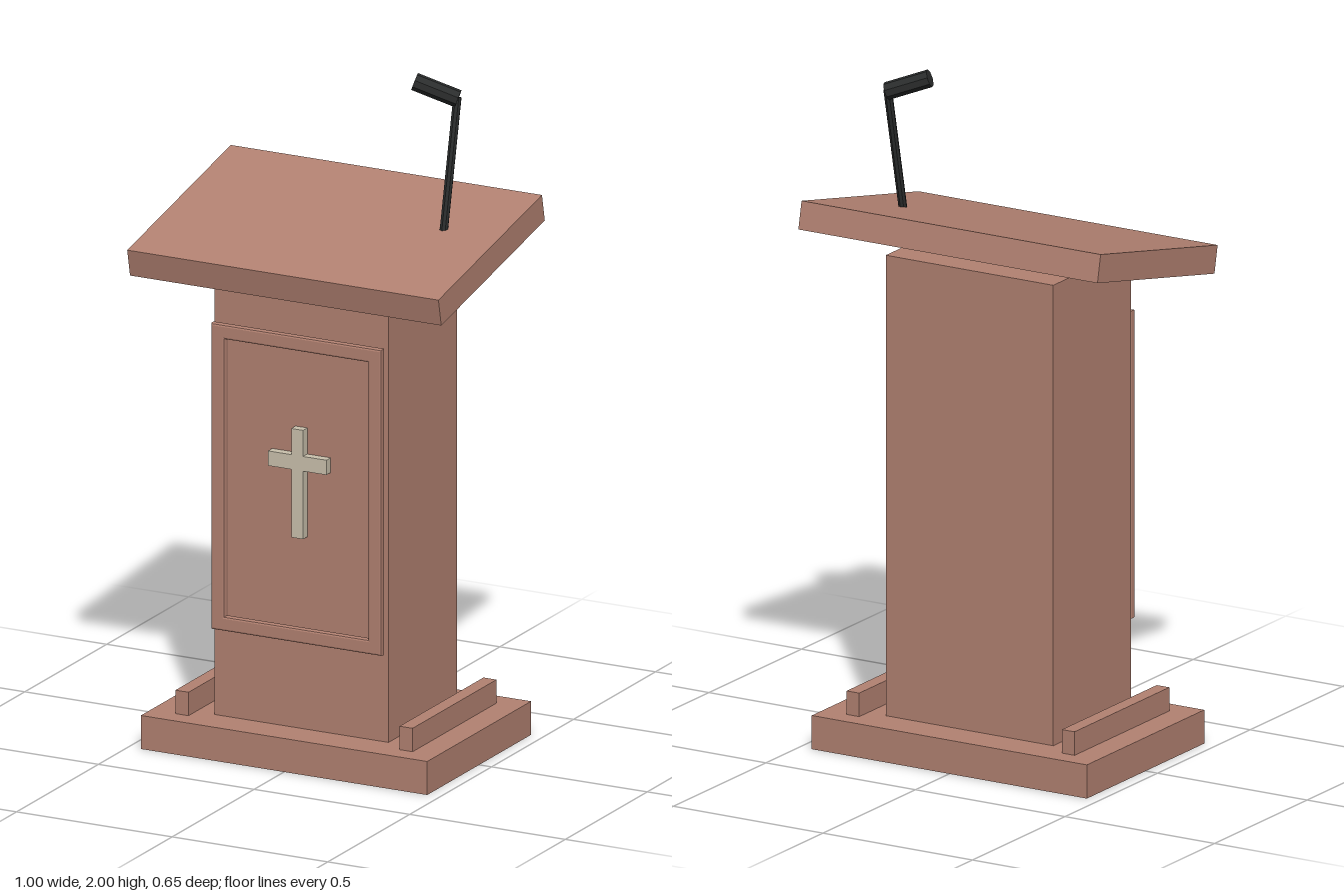
import * as THREE from 'three';

export function createModel() {
  const group = new THREE.Group();
  const wood = new THREE.MeshStandardMaterial({ color: 0xb38272 });
  const ivory = new THREE.MeshStandardMaterial({ color: 0xcbc2ae });
  const black = new THREE.MeshStandardMaterial({ color: 0x2b2d2d });
  wood.name = 'wood';
  ivory.name = 'ivory';
  black.name = 'black';

  const add = (name, geometry, material, x = 0, y = 0, z = 0) => {
    const mesh = new THREE.Mesh(geometry, material);
    mesh.name = name;
    mesh.position.set(x, y, z);
    group.add(mesh);
    return mesh;
  };

  const box = (name, w, y0, y1, z0, z1, x = 0) =>
    add(name, new THREE.BoxGeometry(w, y1 - y0, z1 - z0), wood, x, (y0 + y1) / 2, (z0 + z1) / 2);

  // Faceted rod between two points
  const rod = (name, from, to, radius) => {
    const a = new THREE.Vector3(...from), b = new THREE.Vector3(...to);
    const dir = b.clone().sub(a);
    const geometry = new THREE.CylinderGeometry(radius, radius, dir.length(), 8).toNonIndexed();
    geometry.computeVertexNormals();
    const mesh = add(name, geometry, black);
    mesh.position.copy(a).add(b).multiplyScalar(0.5);
    mesh.quaternion.setFromUnitVectors(new THREE.Vector3(0, 1, 0), dir.normalize());
  };

  const rectangle = (w, h) => [[-w, -h], [w, -h], [w, h], [-w, h]].map(p => new THREE.Vector2(...p));

  // Base, side rails and column
  box('base', 0.92, 0, 0.1, -0.317, 0.317);
  for (const side of [-1, 1]) {
    box(side > 0 ? 'leftRail' : 'rightRail', 0.042, 0.1, 0.17, -0.256, 0.256, side * 0.36);
  }
  box('column', 0.56, 0.1, 1.468, -0.208, 0.211);

  // Sloping reading desk, lower at the front
  const desk = add('readingDesk', new THREE.BoxGeometry(1, 0.0825, 0.646), wood, 0, 1.5125, 0);
  desk.rotation.x = 0.21;

  // Bevelled frame standing just proud of the column front
  const bevel = 0.006;
  const frame = new THREE.Shape(rectangle(0.274 - bevel, 0.457 - bevel));
  frame.holes.push(new THREE.Path(rectangle(0.23 + bevel, 0.414 + bevel).reverse()));
  add('panelFrame', new THREE.ExtrudeGeometry(frame, {
    depth: 0.012, bevelEnabled: true, bevelSize: bevel, bevelThickness: bevel, bevelSegments: 2
  }), wood, 0, 0.822, 0.227);

  // Cross, outlined around its full height
  const s = 0.019, a = 0.094;
  const cross = new THREE.Shape([
    [-s, 0.675], [s, 0.675], [s, 0.878], [a, 0.878], [a, 0.922], [s, 0.922],
    [s, 1], [-s, 1], [-s, 0.922], [-a, 0.922], [-a, 0.878], [-s, 0.878]
  ].map(p => new THREE.Vector2(...p)));
  add('cross', new THREE.ExtrudeGeometry(cross, { depth: 0.027, bevelEnabled: false }), ivory, 0, 0, 0.21);

  // Microphone
  rod('microphoneStem', [0.32, 1.56, -0.05], [0.32, 1.935, -0.133], 0.0125);
  rod('microphoneHead', [0.322, 1.93, -0.134], [0.204, 1.976, -0.092], 0.026);

  return group;
}
